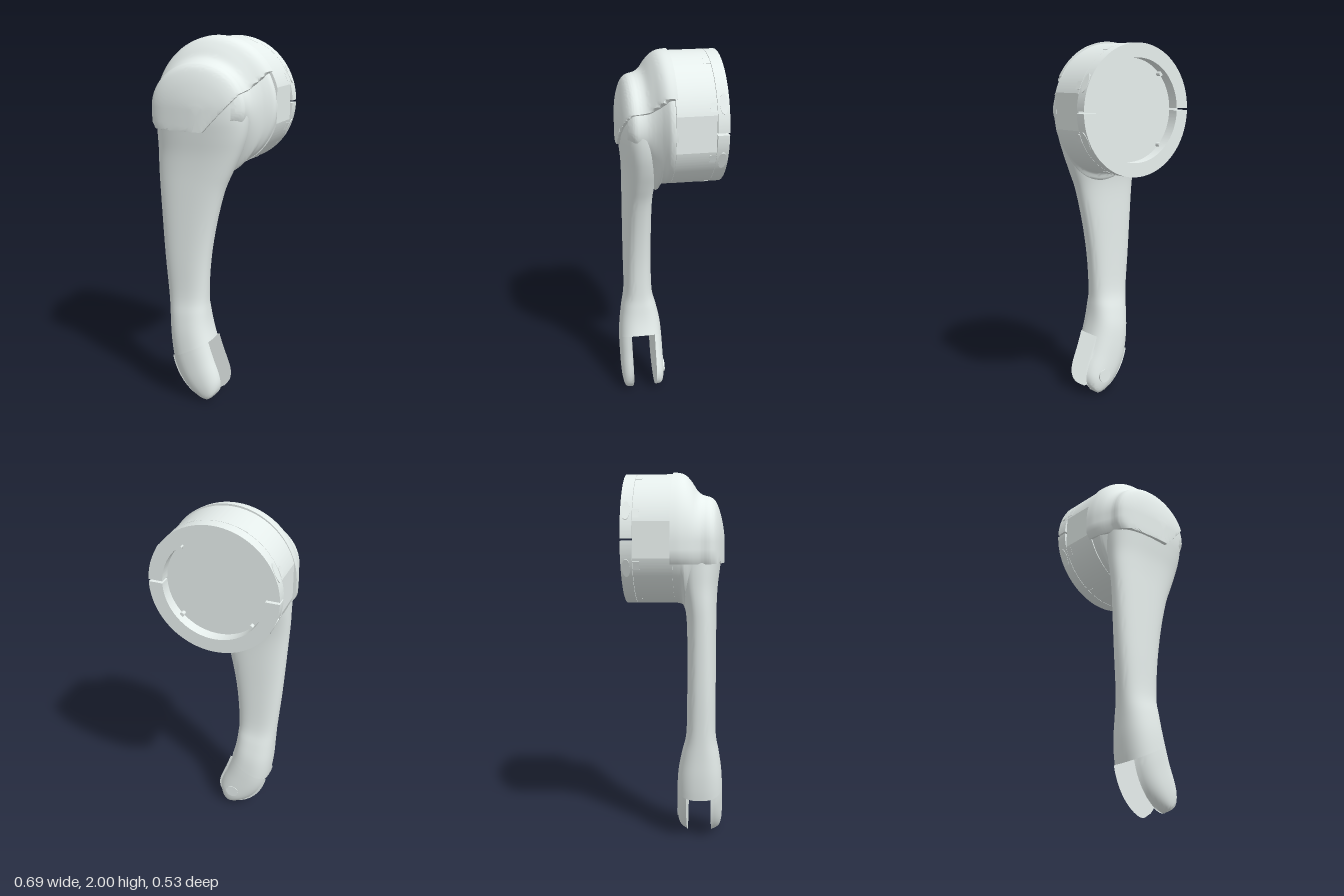
import * as THREE from 'three';
import { toCreasedNormals } from 'three/addons/utils/BufferGeometryUtils.js';

const HEAD_Y = 1.645;
const material = new THREE.MeshStandardMaterial({ color: 0xe6eeec });

function part(name, geometry, parent) {
  const mesh = new THREE.Mesh(geometry, material);
  mesh.name = name;
  parent.add(mesh);
  return mesh;
}

// Smoothly subdivide a table of section rows
function refine(rows, steps) {
  const curves = rows[0].map((_, c) => new THREE.SplineCurve(rows.map((r, i) => new THREE.Vector2(i, r[c]))));
  const count = (rows.length - 1) * steps;
  return Array.from({ length: count + 1 }, (_, i) => curves.map((c) => c.getPoint(i / count).y));
}

// Closed skin through equal-sized loops of points, with end caps
function loft(loops) {
  const n = loops[0].length;
  const pos = [];
  const tris = [];
  loops.forEach((loop) => loop.forEach((p) => pos.push(p.x, p.y, p.z)));
  for (let i = 0; i < loops.length - 1; i++) {
    for (let j = 0; j < n; j++) {
      const k = (j + 1) % n;
      const a = i * n + j, b = i * n + k, c = a + n, d = b + n;
      tris.push([a, b, d], [a, d, c]);
    }
  }
  [0, loops.length - 1].forEach((row, end) => {
    const mid = loops[row].reduce((s, p) => s.add(p), new THREE.Vector3()).divideScalar(n);
    const m = pos.length / 3;
    pos.push(mid.x, mid.y, mid.z);
    for (let j = 0; j < n; j++) {
      const a = row * n + j, b = row * n + ((j + 1) % n);
      tris.push(end ? [m, a, b] : [m, b, a]);
    }
  });
  // Turn the skin outward if its signed volume is negative
  const at = (i) => new THREE.Vector3().fromArray(pos, i * 3);
  const volume = tris.reduce((s, [a, b, c]) => s + at(a).dot(at(b).cross(at(c))), 0);
  const g = new THREE.BufferGeometry();
  g.setAttribute('position', new THREE.Float32BufferAttribute(pos, 3));
  g.setIndex(tris.flatMap(([a, b, c]) => (volume < 0 ? [a, c, b] : [a, b, c])));
  return toCreasedNormals(g, 0.7);
}

// Arm section between a left and a right point, rounded from back to front
function armLoop([lx, ly, rx, ry, back, front], clampZ = (z) => z) {
  const n = 48;
  return Array.from({ length: n }, (_, i) => {
    const a = (i / n) * Math.PI * 2;
    const soft = (v) => Math.sign(v) * Math.abs(v) ** 0.8;
    const u = (soft(Math.cos(a)) + 1) / 2;
    const z = (back + front) / 2 + (soft(Math.sin(a)) * (front - back)) / 2;
    return new THREE.Vector3(lx + (rx - lx) * u, ly + (ry - ly) * u, clampZ(z));
  });
}

// Head contour at one depth, optionally cut off below the cover's edge
function headLoop([z, left, right, top, bottom], cut) {
  const n = 128, cx = (left + right) / 2, cy = 1.635;
  return Array.from({ length: n }, (_, i) => {
    const a = (i / n) * Math.PI * 2;
    const dx = (Math.cos(a) * (right - left)) / 2;
    const dy = Math.sin(a) * (Math.sin(a) > 0 ? top - cy : cy - bottom);
    let t = 1;
    if (cut) {
      if (cy + dy < 1.52) t = Math.min(t, (1.52 - cy) / dy);
      const gap = cy - 1.52 - 1.07 * (cx - 0.02); // height of centre above the slanted edge
      const fall = 1.07 * dx - dy;
      if (fall > gap) t = Math.min(t, gap / fall);
    }
    return new THREE.Vector3(cx + dx * t, cy + dy * t, z);
  });
}

function addArm(parent) {
  // left x, left y, right x, right y, back z, front z
  const sections = [
    [-0.2, 1.8, 0.14, 1.8, 0.02, 0.2],
    [-0.28, 1.7, 0.215, 1.7, 0.01, 0.243],
    [-0.292, 1.6, 0.225, 1.6, 0.01, 0.25],
    [-0.292, 1.5, 0.213, 1.5, 0.015, 0.24],
    [-0.287, 1.4, 0.182, 1.4, 0.03, 0.228],
    [-0.283, 1.3, 0.14, 1.3, 0.052, 0.223],
    [-0.275, 1.19, 0.095, 1.19, 0.065, 0.222],
    [-0.262, 1.0, 0.047, 1.0, 0.068, 0.222],
    [-0.247, 0.8, 0.014, 0.8, 0.068, 0.222],
    [-0.227, 0.59, 0, 0.6, 0.063, 0.223],
    [-0.218, 0.47, 0.004, 0.51, 0.04, 0.24],
    [-0.21, 0.35, 0.014, 0.43, 0.02, 0.254],
    [-0.193, 0.23, 0.034, 0.35, 0.012, 0.26], // the slot starts here
    [-0.167, 0.15, 0.064, 0.26, 0.01, 0.26],
    [-0.128, 0.085, 0.093, 0.185, 0.01, 0.26],
    [-0.08, 0.037, 0.106, 0.13, 0.012, 0.257],
    [-0.03, 0.008, 0.101, 0.085, 0.02, 0.25],
    [0.01, 0.001, 0.084, 0.055, 0.03, 0.24],
    [0.03, 0.01, 0.066, 0.033, 0.045, 0.224],
  ];
  const steps = 4, slotRow = 12 * steps;
  const rows = refine(sections, steps);
  const fork = rows.slice(slotRow);
  part('arm', loft(rows.slice(0, slotRow + 1).map((r) => armLoop(r))), parent);
  part('frontProng', loft(fork.map((r) => armLoop(r, (z) => Math.max(z, 0.2)))), parent);
  part('backProng', loft(fork.map((r) => armLoop(r, (z) => Math.min(z, 0.065)))), parent);
  // Pin showing on the back prong
  const pin = part('pivotPin', new THREE.CylinderGeometry(0.038, 0.038, 0.05, 32), parent);
  pin.rotation.x = Math.PI / 2;
  pin.position.set(0.005, 0.118, 0.033);
}

function addHead(parent) {
  // depth z, left x, right x, top y, bottom y
  const body = [
    [-0.01, -0.333, 0.333, 1.985, 1.3],
    [0.02, -0.333, 0.328, 1.98, 1.298],
    [0.043, -0.33, 0.302, 1.97, 1.288],
    [0.062, -0.325, 0.277, 1.955, 1.25],
    [0.09, -0.315, 0.25, 1.925, 1.3],
    [0.12, -0.305, 0.232, 1.88, 1.38],
    [0.15, -0.295, 0.226, 1.86, 1.42],
    [0.18, -0.29, 0.225, 1.855, 1.46],
    [0.2, -0.28, 0.213, 1.845, 1.5],
    [0.22, -0.255, 0.185, 1.81, 1.52],
  ];
  const cover = [
    [-0.012, -0.35, 0.35, 2.0, 0.8],
    [0.03, -0.347, 0.338, 1.994, 0.8],
    [0.06, -0.34, 0.312, 1.978, 0.8],
    [0.09, -0.33, 0.272, 1.943, 0.8],
    [0.12, -0.317, 0.243, 1.898, 0.8],
    [0.15, -0.306, 0.231, 1.878, 0.8],
    [0.18, -0.304, 0.23, 1.87, 0.8],
    [0.2, -0.297, 0.222, 1.86, 0.8],
    [0.22, -0.275, 0.2, 1.835, 0.8],
    [0.24, -0.22, 0.155, 1.78, 0.9],
    [0.255, -0.125, 0.085, 1.71, 1.2],
    [0.262, -0.04, 0.015, 1.65, 1.45],
  ];
  part('headBody', loft(refine(body, 4).map((r) => headLoop(r))), parent);
  part('headCover', loft(refine(cover, 4).map((r) => headLoop(r, true))), parent);
}

function addHousing(parent) {
  const housing = new THREE.Group();
  housing.name = 'housing';
  housing.position.y = HEAD_Y;
  parent.add(housing);
  const outer = 0.345, inner = 0.27, slit = 0.006;
  const extrude = (shape, depth) =>
    toCreasedNormals(new THREE.ExtrudeGeometry(shape, { depth, bevelEnabled: false, curveSegments: 64 }), 0.2);

  // Drum with a flat on each side
  const flat = Math.acos(0.332 / outer);
  const outline = new THREE.Shape();
  outline.absarc(0, 0, outer, flat, Math.PI - flat, false);
  outline.absarc(0, 0, outer, Math.PI + flat, Math.PI * 2 - flat, false);
  part('drum', extrude(outline, 0.203), housing).position.z = -0.203;

  // Clamp ring in two halves, with a narrow slit at each side
  const half = new THREE.Shape();
  const a = Math.asin(slit / outer), b = Math.asin(slit / inner);
  half.absarc(0, 0, outer, a, Math.PI - a, false);
  half.absarc(0, 0, inner, Math.PI - b, b, true);
  const ring = extrude(half, 0.06);
  for (const turn of [0, Math.PI]) {
    const mesh = part('clampRingHalf', ring, housing);
    mesh.position.z = -0.265;
    mesh.rotation.z = turn;
  }

  // Screw ends either side of the slits
  for (const sx of [-1, 1]) {
    for (const sy of [-1, 1]) {
      const angle = Math.atan2(sy * 0.145, sx * 0.313);
      const screw = part('clampScrew', new THREE.CylinderGeometry(0.021, 0.021, 0.012, 32), housing);
      screw.scale.x = 2.4;
      screw.rotation.z = angle - Math.PI / 2;
      screw.position.set(Math.cos(angle) * 0.3405, Math.sin(angle) * 0.3405, -0.237);
    }
  }

  // Latch tabs around the drum and small studs inside the ring
  for (let i = 0; i < 8; i++) {
    const angle = ((i + 0.5) * Math.PI) / 4;
    const tab = part('latchTab', new THREE.BoxGeometry(0.008, 0.045, 0.034), housing);
    tab.rotation.z = angle;
    tab.position.set(Math.cos(angle) * 0.342, Math.sin(angle) * 0.342, -0.186);
  }
  for (let i = 0; i < 4; i++) {
    const angle = (i * Math.PI) / 2 + Math.PI / 4;
    const stud = part('innerStud', new THREE.CylinderGeometry(0.012, 0.012, 0.03, 16), housing);
    stud.rotation.x = Math.PI / 2;
    stud.position.set(Math.cos(angle) * 0.264, Math.sin(angle) * 0.264, -0.215);
  }
}

export function createModel() {
  const model = new THREE.Group();
  model.name = 'leverHandle';
  addArm(model);
  addHead(model);
  addHousing(model);
  return model;
}
